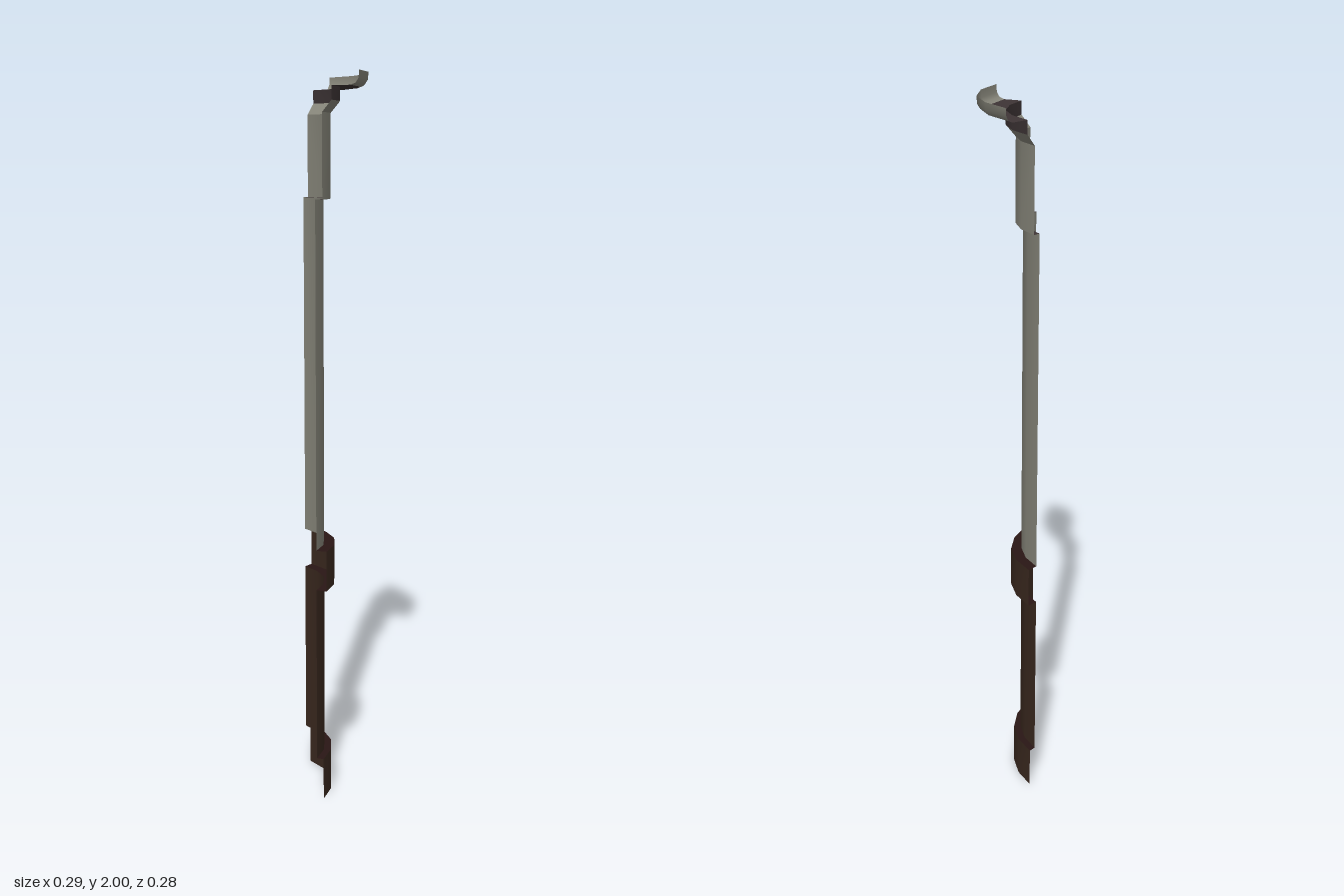
import * as THREE from 'three';

// Plan of the curved sheet: matching inner and outer [x, z] points along the arc
const INNER = [[-0.143, 0.025], [-0.085, 0.005], [-0.032, -0.032], [0.003, -0.083], [0.021, -0.141]];
const OUTER = [[-0.107, 0.139], [-0.015, 0.103], [0.065, 0.038], [0.117, -0.045], [0.143, -0.141]];

// Outward offsets, from 0 (inner plan) to 1 (outer plan)
const SHAFT = 0, BLOCK = 0.165, BAND = 0.25, NECK = 0.38, LEDGE = 0.8;

function material(name, color) {
  const m = new THREE.MeshStandardMaterial({ color, side: THREE.DoubleSide });
  m.name = name;
  return m;
}

// Sweeps a profile of [offset, height] points along the plan
function sweep(profile) {
  const positions = [], index = [], n = INNER.length;
  for (const [t, y] of profile) {
    for (let i = 0; i < n; i++) {
      positions.push(
        THREE.MathUtils.lerp(INNER[i][0], OUTER[i][0], t), y,
        THREE.MathUtils.lerp(INNER[i][1], OUTER[i][1], t));
    }
  }
  for (let j = 0; j < profile.length - 1; j++) {
    for (let i = 0; i < n - 1; i++) {
      const a = j * n + i, b = a + 1, c = b + n, d = a + n;
      index.push(a, b, c, a, c, d);
    }
  }
  const g = new THREE.BufferGeometry();
  g.setAttribute('position', new THREE.Float32BufferAttribute(positions, 3));
  g.setIndex(index);
  g.computeVertexNormals();
  return g;
}

export function createModel() {
  const stone = material('grey stone', 0x8b8a7e);
  const dark = material('dark trim', 0x3e3536);
  const brown = material('brown wood', 0x3c2a20);
  const shade = material('dark brown ledge', 0x2a1615);

  // Separate strips keep the steps crisp while the curve stays smooth
  const parts = [
    ['base', brown, [[BLOCK, 0], [BLOCK, 0.12]]],
    ['baseLedge', shade, [[BLOCK, 0.12], [SHAFT, 0.12]]],
    ['lowerPanel', brown, [[SHAFT, 0.12], [SHAFT, 0.615]]],
    ['bandUnderside', shade, [[SHAFT, 0.615], [BAND, 0.615]]],
    ['band', brown, [[BAND, 0.615], [BAND, 0.728]]],
    ['bandLedge', shade, [[BAND, 0.728], [SHAFT, 0.728]]],
    ['upperPanel', stone, [[SHAFT, 0.728], [SHAFT, 1.675]]],
    ['capitalUnderside', dark, [[SHAFT, 1.675], [BLOCK, 1.675]]],
    ['capital', stone, [[BLOCK, 1.675], [BLOCK, 1.897]]],
    ['capitalFlare', stone, [[BLOCK, 1.897], [NECK, 1.927]]],
    ['neck', dark, [[NECK, 1.927], [NECK, 1.963]]],
    ['corniceUnderside', dark, [[NECK, 1.963], [LEDGE, 1.963]]],
    ['corniceLip', stone, [[LEDGE, 1.963], [0.92, 1.968], [0.985, 1.98], [1, 2]]],
  ];

  const group = new THREE.Group();
  group.name = 'curvedWallPanel';
  for (const [name, mat, profile] of parts) {
    const mesh = new THREE.Mesh(sweep(profile), mat);
    mesh.name = name;
    group.add(mesh);
  }
  return group;
}
